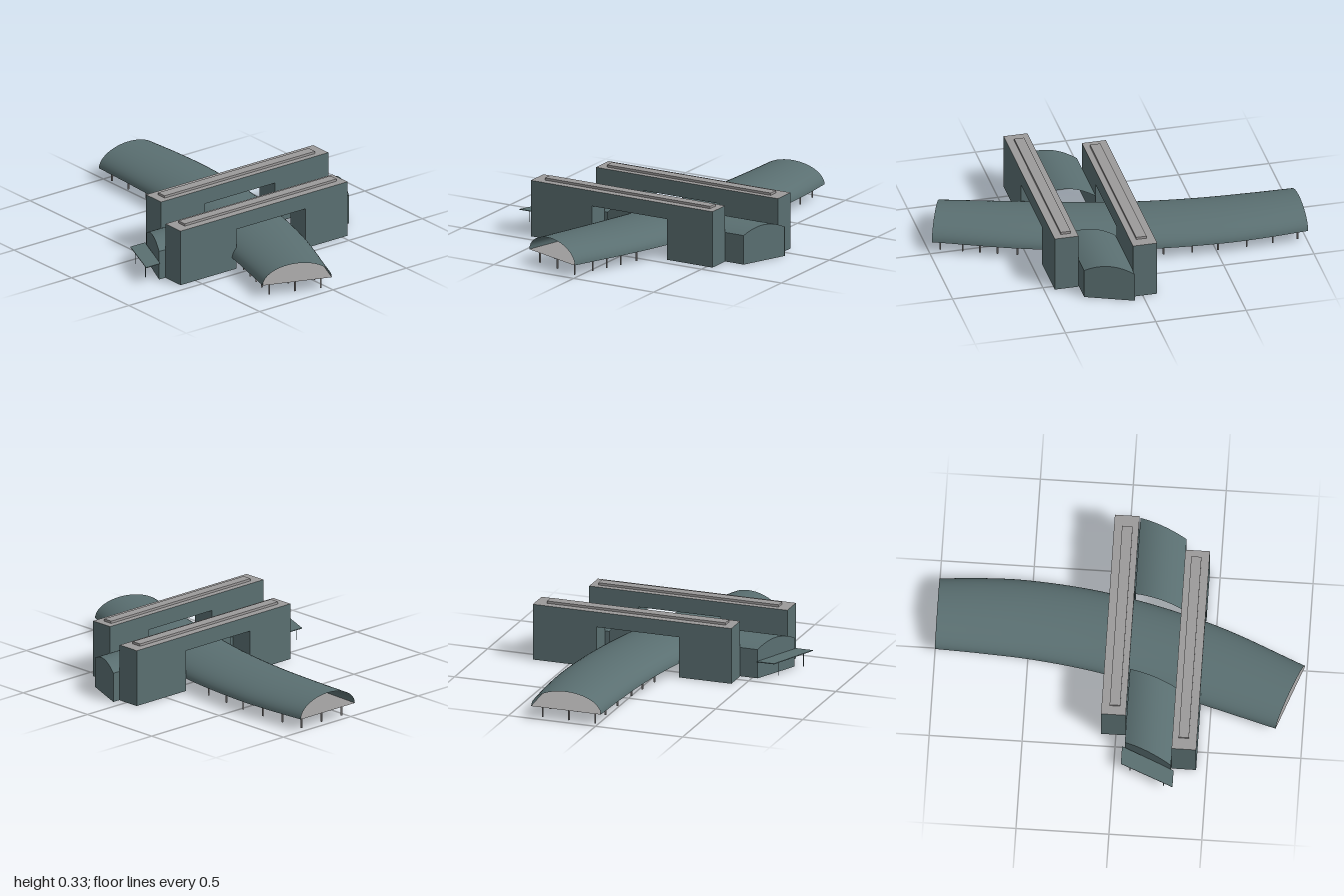
import * as THREE from 'three';

const glass = new THREE.MeshStandardMaterial({ color: 0x5a6f71, side: THREE.DoubleSide });
glass.name = 'teal glass';
const concrete = new THREE.MeshStandardMaterial({ color: 0x9c9a9a, side: THREE.DoubleSide });
concrete.name = 'grey concrete';

function add(parent, name, geometry, material) {
  const mesh = new THREE.Mesh(geometry, material);
  mesh.name = name;
  parent.add(mesh);
  return mesh;
}

// Surface joining cross-sections that all have the same number of points
function loft(sections, smooth = true) {
  const n = sections[0].length, index = [];
  for (let i = 0; i < sections.length - 1; i++) {
    for (let j = 0; j < n - 1; j++) {
      const a = i * n + j, b = a + n;
      index.push(a, a + 1, b, b, a + 1, b + 1);
    }
  }
  let geo = new THREE.BufferGeometry();
  geo.setAttribute('position', new THREE.Float32BufferAttribute(sections.flat(2), 3));
  geo.setIndex(index);
  if (!smooth) geo = geo.toNonIndexed();
  geo.computeVertexNormals();
  return geo;
}

function box(parent, name, material, [x0, x1], [y0, y1], [z0, z1]) {
  const mesh = add(parent, name, new THREE.BoxGeometry(x1 - x0, y1 - y0, z1 - z0), material);
  mesh.position.set((x0 + x1) / 2, (y0 + y1) / 2, (z0 + z1) / 2);
}

// Plan curves of the two long edges of the train shed
const edge = (pts) => new THREE.CatmullRomCurve3(pts.map(([x, z]) => new THREE.Vector3(x, 0, z)));
const frontEdge = edge([[-1, 0.03], [-0.75, 0.04], [-0.45, 0.06], [-0.08, 0.115], [0.4, 0.24], [0.855, 0.365]]);
const backEdge = edge([[-1, -0.37], [-0.77, -0.387], [-0.52, -0.39], [-0.08, -0.345], [0.48, -0.205], [0.99, 0]]);
const across = (u, f) => backEdge.getPoint(u).lerp(frontEdge.getPoint(u), f);
const DECK = 0.07;

function trainShed() {
  const shed = new THREE.Group();
  shed.name = 'trainShed';
  const roof = [], deck = [];
  for (let i = 0; i <= 48; i++) {
    const u = i / 48, arch = [];
    for (let j = 0; j <= 24; j++) {
      const a = Math.PI * j / 24;
      const p = across(u, 0.5 - 0.5 * Math.cos(a));
      arch.push([p.x, DECK + 0.105 * Math.sin(a), p.z]);
    }
    roof.push(arch);
    deck.push([0, 1].map((f) => { const p = across(u, f); return [p.x, DECK, p.z]; }));
  }
  add(shed, 'vaultedRoof', loft(roof), glass);
  add(shed, 'platformDeck', loft(deck), concrete);

  // Rows of three columns under the deck
  const column = new THREE.CylinderGeometry(0.005, 0.005, DECK, 8);
  for (const u of [0.04, 0.16, 0.28, 0.4, 0.47, 0.54, 0.83, 0.87, 0.905, 0.94, 0.985]) {
    for (const f of [0.13, 0.5, 0.87]) {
      const p = across(u, f);
      add(shed, 'deckColumn', column, concrete).position.set(p.x, DECK / 2, p.z);
    }
  }
  return shed;
}

// Bridge-shaped office block: two hollow legs and a span over the tracks
function bridgeBlock(x0, x1, zBack, zFront, openBack, openFront, strip) {
  const block = new THREE.Group();
  block.name = 'bridgeBlock';
  const H = 0.313, O = 0.228;
  const outline = [[zBack, 0], [zBack, H], [zFront, H], [zFront, 0],
    [openFront, 0], [openFront, O], [openBack, O], [openBack, 0]];
  const shape = new THREE.Shape(outline.map(([z, y]) => new THREE.Vector2(-z, y)));
  for (const x of [x0, x1]) {
    const side = new THREE.ShapeGeometry(shape);
    if (x === x0) side.rotateY(-Math.PI / 2).scale(1, 1, -1);
    else side.rotateY(Math.PI / 2);
    // keep both faces on the same plan, winding facing outwards
    if (x === x0) {
      const ix = side.index.array;
      for (let i = 0; i < ix.length; i += 3) [ix[i], ix[i + 1]] = [ix[i + 1], ix[i]];
      side.computeVertexNormals();
    }
    add(block, 'sideWall', side, glass).position.x = x;
  }
  outline.forEach(([z, y], i) => {
    const [z2, y2] = outline[(i + 1) % outline.length];
    if (y === 0 && y2 === 0) return; // legs are open underneath
    const top = y === H && y2 === H;
    const wall = loft([[[x0, y, z], [x1, y, z]], [[x0, y2, z2], [x1, y2, z2]]], false);
    // turn the winding so that the panel faces outwards
    const p = wall.attributes.position;
    for (let k = 0; k < p.count; k += 3) {
      const a = [p.getX(k), p.getY(k), p.getZ(k)];
      p.setXYZ(k, p.getX(k + 1), p.getY(k + 1), p.getZ(k + 1));
      p.setXYZ(k + 1, ...a);
    }
    wall.computeVertexNormals();
    add(block, top ? 'flatRoof' : 'endWall', wall, top ? concrete : glass);
  });
  box(block, 'roofStrip', concrete, [strip[0], strip[1]], [H, 0.326], [strip[2], strip[3]]);
  return block;
}

// Arched hall between the blocks, ends cut on the skew
const X0 = 0.055, X1 = 0.31;
function hall(name, back, front, capFront) {
  const group = new THREE.Group();
  group.name = name;
  const arc = [];
  for (let j = 0; j <= 14; j++) {
    const t = j / 14;
    arc.push([X0 + (X1 - X0) * t, 0.163 + 0.037 * (1 - (2 * t - 1) ** 2), t]);
  }
  const zAt = (end, t) => end[0] + (end[1] - end[0]) * t;
  const ring = (end) => arc.map(([x, y, t]) => [x, y, zAt(end, t)]);
  add(group, 'hallRoof', loft([front, back].map(ring)), glass);
  for (const t of [0, 1]) {
    const x = t ? X1 - 0.001 : X0 + 0.001;
    const post = (end) => [[x, 0, end[t]], [x, 0.163, end[t]]];
    add(group, 'hallSideWall', loft(t ? [post(front), post(back)] : [post(back), post(front)], false), glass);
  }
  const end = capFront ? front : back;
  const strips = arc.map(([x, y, t]) => [[x, 0, zAt(end, t)], [x, y, zAt(end, t)]]);
  if (capFront) strips.reverse();
  add(group, 'glazedEndWall', loft(strips, false), glass);
  return group;
}

function entranceCanopy() {
  const canopy = new THREE.Group();
  canopy.name = 'entranceCanopy';
  const plate = new THREE.Shape([[0.04, -0.53], [0.04, -0.63], [0.325, -0.745], [0.325, -0.65]]
    .map(([x, y]) => new THREE.Vector2(x, y)));
  const geo = new THREE.ExtrudeGeometry(plate, { depth: 0.004, bevelEnabled: false });
  geo.rotateX(-Math.PI / 2);
  add(canopy, 'canopyPlate', geo, glass).position.y = 0.096;
  for (const [x, z] of [[0.09, 0.635], [0.275, 0.71]]) {
    add(canopy, 'canopyPost', new THREE.CylinderGeometry(0.002, 0.002, 0.078, 8), glass).position.set(x, 0.058, z);
  }
  return canopy;
}

export function createModel() {
  const model = new THREE.Group();
  model.name = 'railwayStation';
  model.add(
    trainShed(),
    bridgeBlock(-0.08, 0.053, -0.71, 0.43, -0.345, 0.13, [-0.037, 0.02, -0.645, 0.38]),
    bridgeBlock(0.311, 0.443, -0.535, 0.603, -0.25, 0.22, [0.345, 0.4, -0.495, 0.54]),
    hall('frontHall', [0.11, 0.2], [0.53, 0.645], true),
    hall('backHall', [-0.755, -0.65], [-0.32, -0.25], false),
    entranceCanopy(),
  );
  return model;
}
